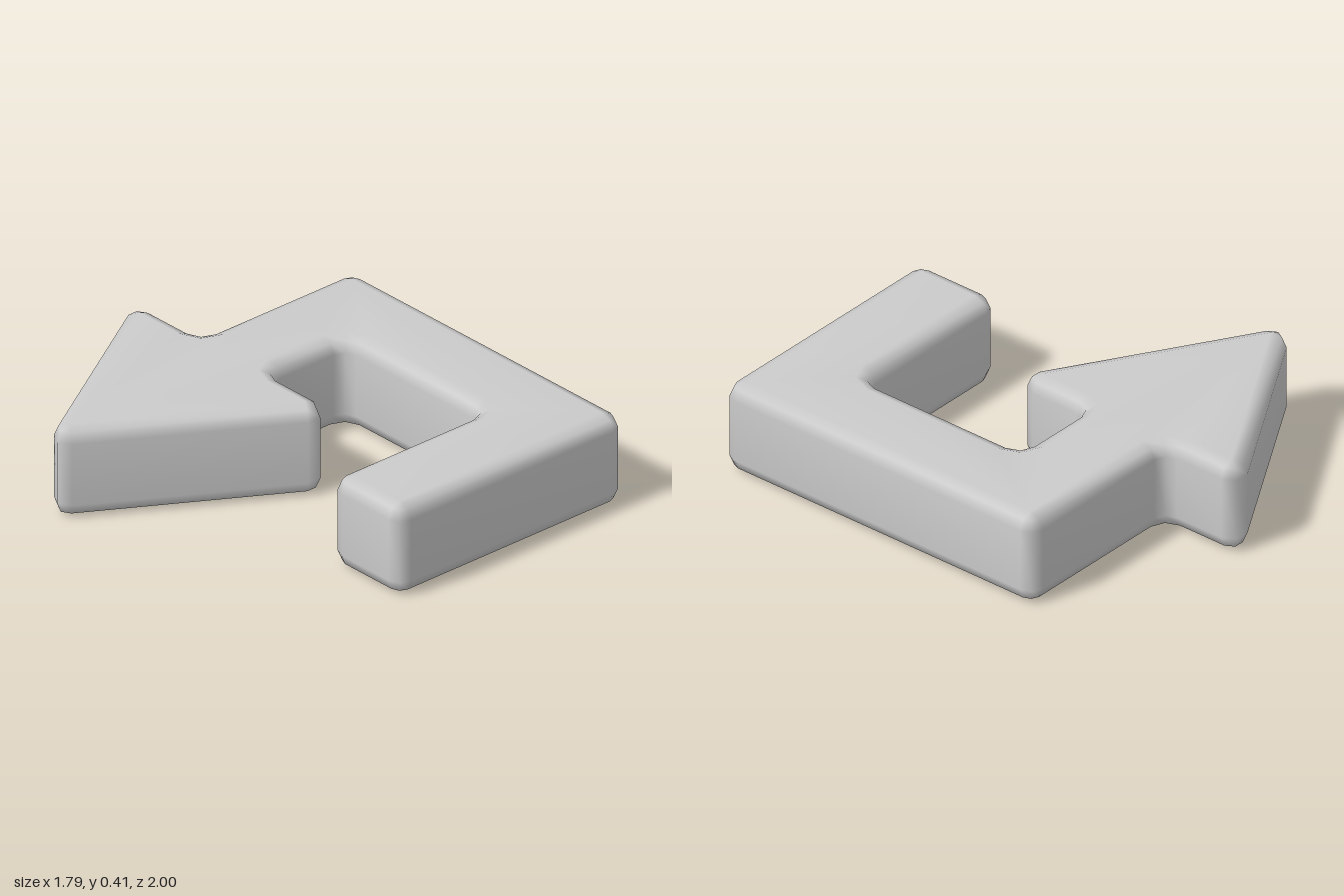
import * as THREE from 'three';
import { mergeVertices } from 'three/addons/utils/BufferGeometryUtils.js';

const HEIGHT = 0.41;
const RADIUS = 0.065;
const STEPS = 2; // segments per rounded corner and per rounded rim

// Sharp corners of the bent arrow in plan (x, z), starting at the tip
const CORNERS = [
  [-0.953, -0.44], [0.07, -1.054], [0.07, -0.64], [0.895, -0.64],
  [0.895, 1], [-0.333, 1], [-0.333, 0.59], [0.49, 0.59],
  [0.49, -0.235], [0.07, -0.235], [0.07, 0.174],
].map(([x, z]) => new THREE.Vector2(x, z));

// Outward normal of the edge from a to b
function edgeNormal(a, b) {
  return new THREE.Vector2(b.y - a.y, a.x - b.x).normalize();
}

// Round every corner; each outline point keeps its outward normal
function roundedOutline(corners, r) {
  const outline = [];
  const count = corners.length;
  corners.forEach((corner, i) => {
    const n1 = edgeNormal(corners[(i + count - 1) % count], corner);
    const n2 = edgeNormal(corner, corners[(i + 1) % count]);
    const turn = Math.atan2(n1.cross(n2), n1.dot(n2));
    const side = Math.sign(turn); // 1 for outer corners, -1 for inner ones
    const mitre = n1.clone().add(n2).divideScalar(1 + n1.dot(n2));
    const centre = corner.clone().addScaledVector(mitre, -r * side);
    for (let k = 0; k <= STEPS; k++) {
      const normal = n1.clone().rotateAround(new THREE.Vector2(), turn * k / STEPS);
      outline.push({ point: centre.clone().addScaledVector(normal, r * side), normal });
    }
  });
  return outline;
}

function roundedSlab(corners, height, r) {
  const outline = roundedOutline(corners, r);
  const n = outline.length;
  const inset = (d) => outline.map((o) => o.point.clone().addScaledVector(o.normal, -d));

  // Quarter-round rim at the bottom, straight wall, quarter-round rim at the top
  const levels = [];
  for (let k = 0; k <= STEPS; k++) {
    const a = (k / STEPS) * Math.PI / 2;
    levels.push([r * (1 - Math.sin(a)), r * (1 - Math.cos(a))]);
  }
  levels.push(...levels.slice().reverse().map(([d, y]) => [d, height - y]));

  const positions = [];
  const index = [];
  levels.forEach(([d, y]) => inset(d).forEach((p) => positions.push(p.x, y, p.y)));
  for (let l = 0; l < levels.length - 1; l++) {
    for (let i = 0; i < n; i++) {
      const a = l * n + i;
      const b = l * n + (i + 1) % n;
      index.push(a, a + n, b + n, a, b + n, b);
    }
  }

  // Flat underside and top
  const top = (levels.length - 1) * n;
  for (const [a, b, c] of THREE.ShapeUtils.triangulateShape(inset(r), [])) {
    index.push(a, b, c, top + a, top + c, top + b);
  }

  const geometry = new THREE.BufferGeometry();
  geometry.setAttribute('position', new THREE.Float32BufferAttribute(positions, 3));
  geometry.setIndex(index);
  const merged = mergeVertices(geometry, 1e-4);
  merged.computeVertexNormals();
  return merged;
}

export function createModel() {
  const group = new THREE.Group();
  group.name = 'turnArrow';
  const material = new THREE.MeshStandardMaterial({ color: 0xcccccc });
  const arrow = new THREE.Mesh(roundedSlab(CORNERS, HEIGHT, RADIUS), material);
  arrow.name = 'bentArrow';
  group.add(arrow);
  return group;
}
